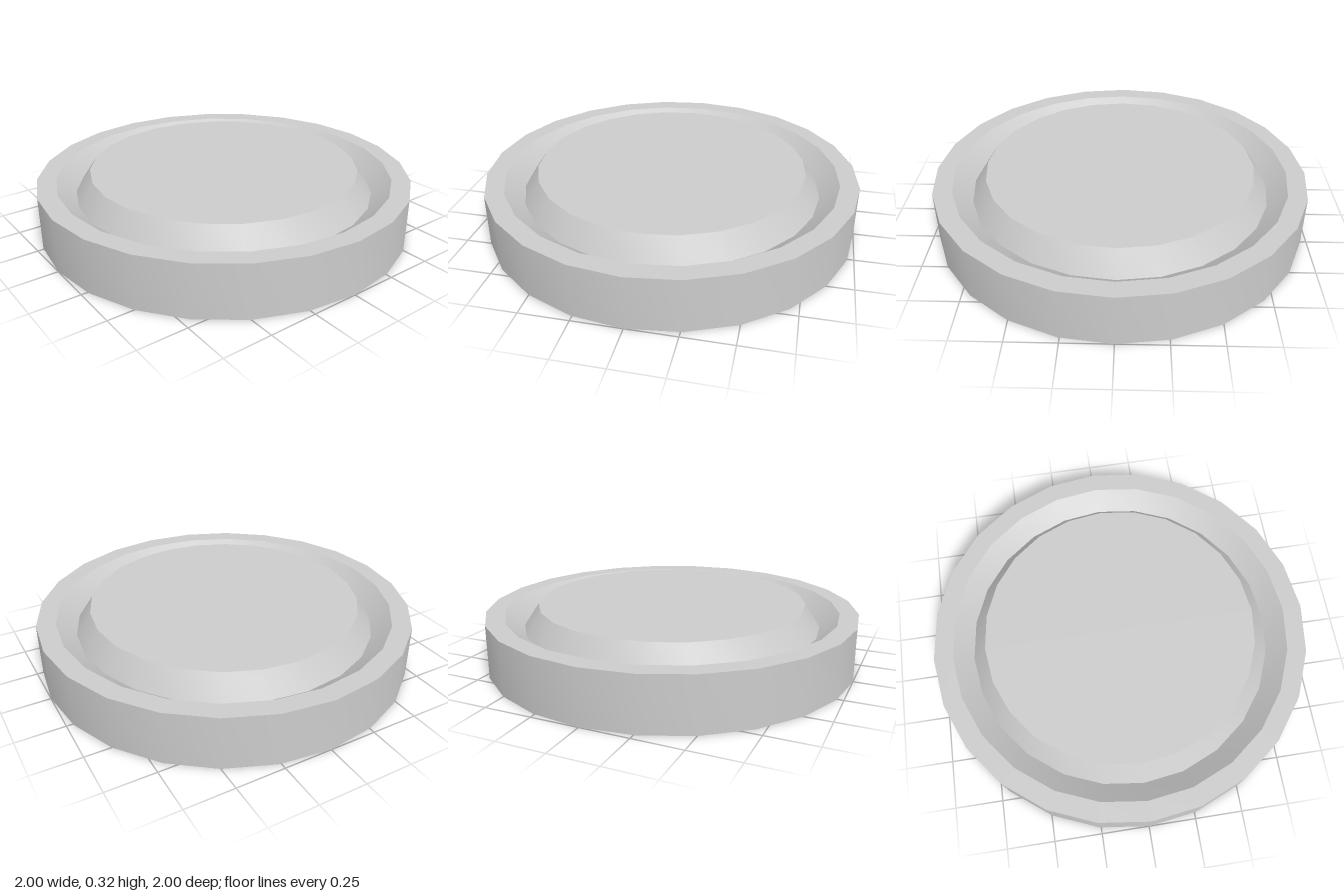
import * as THREE from 'three';
import { toCreasedNormals } from 'three/addons/utils/BufferGeometryUtils.js';

const SIDES = 24;

// Revolve a [radius, height] profile, keeping its profile edges sharp
function turned(name, profile, material) {
  const points = profile.map(([r, y]) => new THREE.Vector2(r, y));
  const lathe = new THREE.LatheGeometry(points, SIDES);
  const mesh = new THREE.Mesh(toCreasedNormals(lathe, Math.PI / 6), material);
  mesh.name = name;
  return mesh;
}

export function createModel() {
  const material = new THREE.MeshStandardMaterial({ color: 0xcccccc });
  const model = new THREE.Group();
  model.name = 'roundPushButton';

  // Base: flat underside, straight wall, flat rim, slope down into the groove
  model.add(turned('base', [[0, 0], [1, 0], [1, 0.28], [0.9, 0.28], [0.8, 0.2]], material));

  // Raised centre: slope up out of the groove to a flat top
  model.add(turned('raisedCentre', [[0.8, 0.2], [0.72, 0.32], [0, 0.32]], material));

  return model;
}
